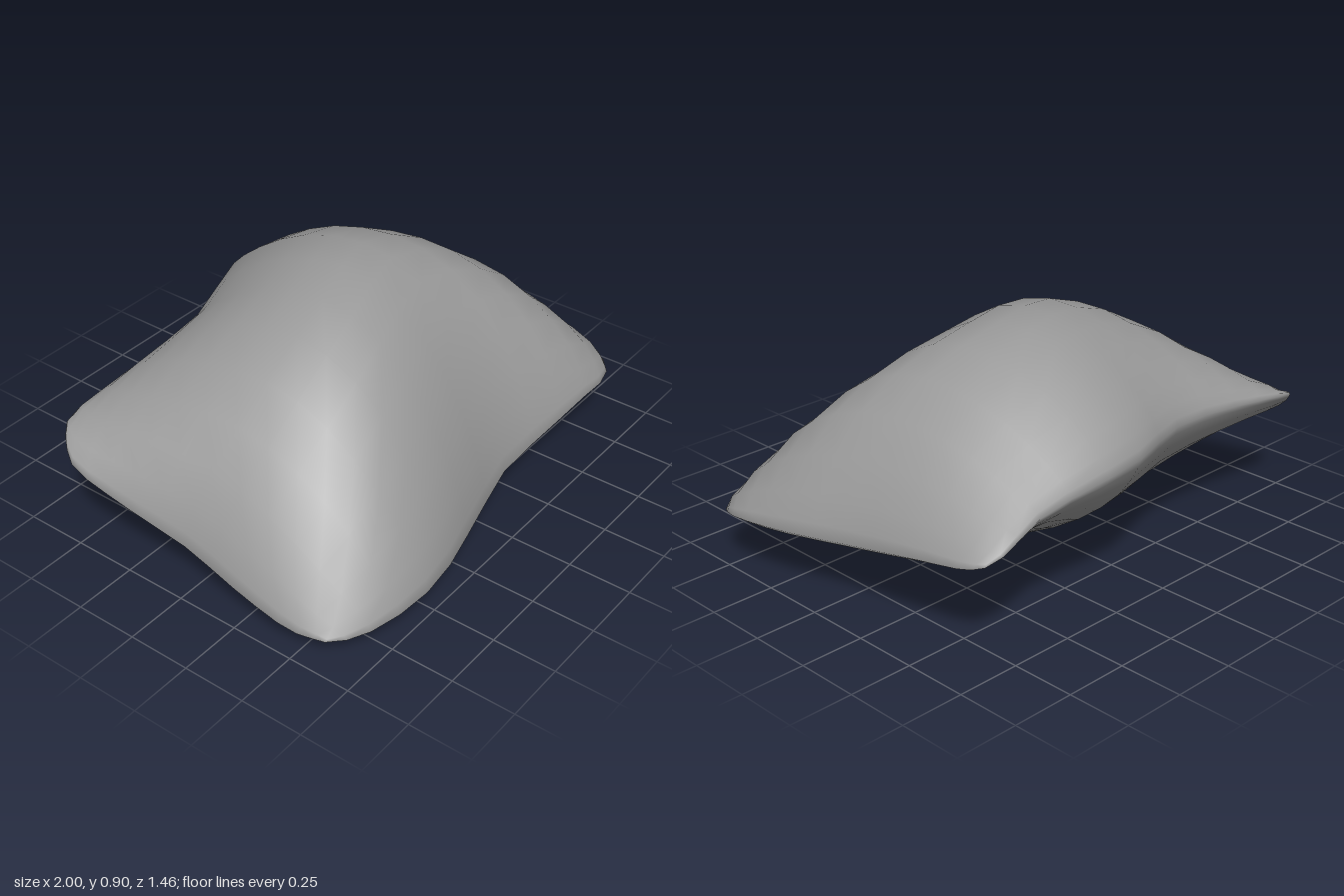
import * as THREE from 'three';
import { mergeVertices } from 'three/addons/utils/BufferGeometryUtils.js';

const N = 16; // grid cells per side of each cushion panel

const curve = (...pts) =>
  new THREE.CatmullRomCurve3(pts.map((p) => new THREE.Vector3(...p)), false, 'centripetal');

// Seam corners, (x, y, z)
const frontRight = [-0.92, 0.08, 0.59];
const frontLeft = [0.965, 0.215, 0.55];
const backRight = [-0.955, 0.44, -0.57];
const backLeft = [0.82, 0.38, -0.68];

// Seam edges: front and back run right to left, the sides run back to front
const front = curve(frontRight, [-0.84, 0.08, 0.66], [-0.66, 0.1, 0.725], [-0.43, 0.1, 0.725],
  [0, 0.1, 0.62], [0.22, 0.12, 0.575], [0.45, 0.16, 0.595], [0.68, 0.205, 0.62], [0.89, 0.205, 0.61], frontLeft);
const back = curve(backRight, [-0.89, 0.47, -0.615], [-0.67, 0.5, -0.61], [-0.45, 0.52, -0.595],
  [-0.24, 0.53, -0.6], [0.17, 0.55, -0.735], [0.38, 0.52, -0.715], [0.59, 0.47, -0.69], [0.75, 0.415, -0.71], backLeft);
const right = curve(backRight, [-1, 0.38, -0.5], [-0.98, 0.285, -0.25], [-0.95, 0.21, 0],
  [-0.96, 0.15, 0.22], [-0.955, 0.09, 0.47], frontRight);
const left = curve(backLeft, [0.85, 0.365, -0.63], [0.88, 0.33, -0.4], [0.915, 0.285, -0.1],
  [0.985, 0.255, 0.22], [1, 0.23, 0.47], frontLeft);

// Surface spanned between the four seam edges (Coons patch)
function seamSurface(s, t) {
  const p = new THREE.Vector3();
  const add = (v, w) => p.addScaledVector(v, w);
  add(back.getPointAt(s), 1 - t);
  add(front.getPointAt(s), t);
  add(right.getPointAt(t), 1 - s);
  add(left.getPointAt(t), s);
  add(new THREE.Vector3(...backRight), -(1 - s) * (1 - t));
  add(new THREE.Vector3(...backLeft), -s * (1 - t));
  add(new THREE.Vector3(...frontRight), -(1 - s) * t);
  add(new THREE.Vector3(...frontLeft), -s * t);
  return p;
}

// Height of the stuffing above (side 1) or below (side -1) the seam surface:
// a rounded rim plus a dome, fuller at the front on top and at the back below
function bulge(u, v, side) {
  const a = Math.max(0, 1 - u * u);
  const b = Math.max(0, 1 - v * v);
  if (side > 0) {
    return 0.03 * Math.pow(a * b, 0.35) + 0.59 * (1 + 0.28 * v) * Math.pow(a, 0.85) * Math.pow(b, 0.83);
  }
  return -0.09 * Math.sqrt(a * b) - 0.17 * (1 - 0.3 * v) * Math.pow(a, 1.9) * Math.pow(b, v > 0 ? 1.9 : 1);
}

function cushionGeometry() {
  const positions = [];
  const indices = [];
  for (const side of [1, -1]) {
    const start = positions.length / 3;
    for (let j = 0; j <= N; j++) {
      for (let i = 0; i <= N; i++) {
        // Rows crowd together towards the seam
        const u = Math.sin((i / N - 0.5) * Math.PI);
        const v = Math.sin((j / N - 0.5) * Math.PI);
        const p = seamSurface((u + 1) / 2, (v + 1) / 2);
        positions.push(p.x, p.y + bulge(u, v, side), p.z);
      }
    }
    for (let j = 0; j < N; j++) {
      for (let i = 0; i < N; i++) {
        const a = start + j * (N + 1) + i;
        const b = a + 1;
        const c = a + N + 1;
        const d = c + 1;
        if (side > 0) indices.push(a, c, b, b, c, d);
        else indices.push(a, b, c, b, d, c);
      }
    }
  }
  let geometry = new THREE.BufferGeometry();
  geometry.setAttribute('position', new THREE.Float32BufferAttribute(positions, 3));
  geometry.setIndex(indices);
  geometry = mergeVertices(geometry, 1e-4); // sews both panels at the seam
  geometry.computeBoundingBox();
  geometry.translate(0, -geometry.boundingBox.min.y, 0);
  geometry.computeVertexNormals();
  return geometry;
}

export function createModel() {
  const group = new THREE.Group();
  group.name = 'pillow';
  const cushion = new THREE.Mesh(cushionGeometry(), new THREE.MeshStandardMaterial({ color: 0x999999 }));
  cushion.name = 'cushion';
  group.add(cushion);
  return group;
}
